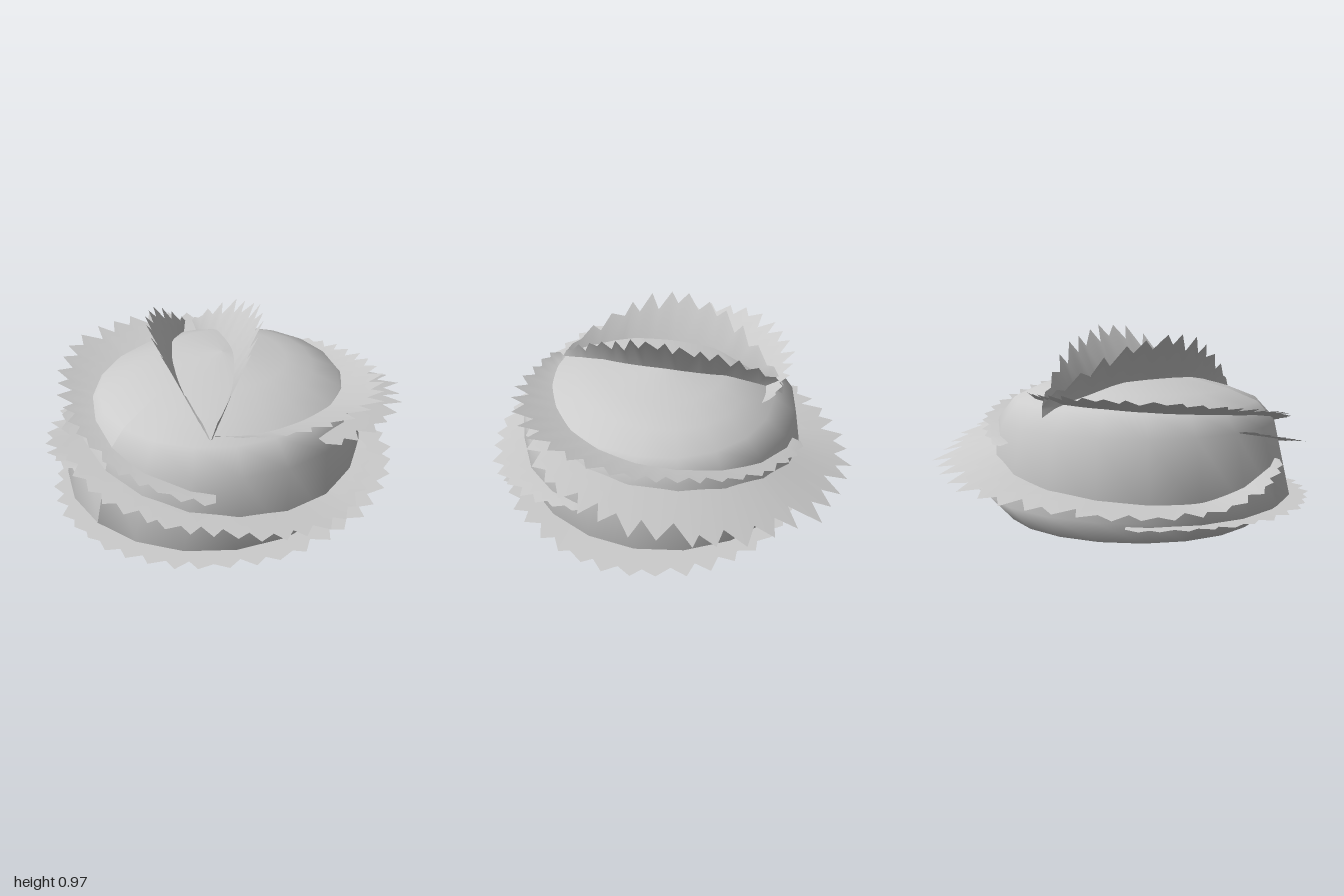
import * as THREE from 'three';

const material = new THREE.MeshStandardMaterial({ color: 0xcccccc, side: THREE.DoubleSide });

// Dome rings: [y, centre x, centre z, radius x, radius z]
const RINGS = [
  [0, 0.01, 0.055, 0.615, 0.655],
  [0.13, 0.02, 0.075, 0.755, 0.8],
  [0.5, 0.035, 0.07, 0.715, 0.72],
  [0.6, 0.045, 0.06, 0.585, 0.64],
  [0.66, 0.04, 0.05, 0.44, 0.5],
  [0.71, 0.03, 0.03, 0.32, 0.33],
  [0.74, 0.02, 0.02, 0.001, 0.001],
];

// Point on the dome at a height and azimuth (0 = front, 90 degrees = +x)
function domePoint(y, azimuth, scale = 1) {
  let i = 0;
  while (i < RINGS.length - 2 && y > RINGS[i + 1][0]) i++;
  const a = RINGS[i], b = RINGS[i + 1];
  const t = (y - a[0]) / (b[0] - a[0]);
  const [, cx, cz, rx, rz] = a.map((v, k) => v + (b[k] - v) * t);
  return new THREE.Vector3(cx + Math.sin(azimuth) * rx * scale, y, cz + Math.cos(azimuth) * rz * scale);
}

// Smooth surface through equal-length rows of points
function loft(name, rows) {
  const w = rows[0].length;
  const index = [];
  for (let r = 0; r < rows.length - 1; r++) {
    for (let c = 0; c < w - 1; c++) {
      const a = r * w + c, b = a + w;
      index.push(a, a + 1, b, b, a + 1, b + 1);
    }
  }
  const geometry = new THREE.BufferGeometry().setFromPoints(rows.flat());
  geometry.setIndex(index);
  geometry.computeVertexNormals();
  const mesh = new THREE.Mesh(geometry, material);
  mesh.name = name;
  return mesh;
}

const noise = (n) => {
  const s = Math.sin(n * 12.9898 + 4.1) * 43758.5453;
  return s - Math.floor(s);
};

// Jagged sheet; section(t) gives its inner, base and tip points along its length
function jaggedSheet(name, teeth, seed, section) {
  const rows = [[], [], []];
  for (let i = 0; i <= teeth * 2; i++) {
    const shift = i > 0 && i < teeth * 2 ? (noise(seed + i * 3.7) - 0.5) * 0.5 : 0;
    const [inner, base, tip] = section((i + shift) / (teeth * 2));
    const reach = i % 2 ? 0.9 + 0.12 * noise(seed + i) : 0.55 + 0.2 * noise(seed + i);
    rows[0].push(inner);
    rows[1].push(base);
    rows[2].push(base.clone().lerp(tip, reach));
  }
  return loft(name, rows);
}

// Ruff around the dome from one azimuth to another, running on a little way inside;
// evenly spaced keys of [base y, overhang, tip y]
function sideRuff(name, teeth, seed, from, to, keys) {
  const curve = new THREE.CatmullRomCurve3(keys.map((k) => new THREE.Vector3(...k)));
  return jaggedSheet(name, teeth, seed, (t) => {
    const azimuth = THREE.MathUtils.degToRad(from + (to - from) * t);
    const { x: baseY, y: overhang, z: tipY } = curve.getPoint(t);
    const base = domePoint(baseY, azimuth, 0.98);
    const tip = base.clone().add(
      new THREE.Vector3(Math.sin(azimuth) * overhang, tipY - baseY, Math.cos(azimuth) * overhang));
    return [domePoint(baseY, azimuth, 0.85), base, tip];
  });
}

// Upright wall bowed to one side of the line between the two crest ends
function crestWall(name, teeth, seed, bow, lean, height) {
  const start = new THREE.Vector3(-0.52, 0.59, -0.25);
  const end = new THREE.Vector3(0.42, 0.59, 0.5);
  const across = new THREE.Vector3(-0.62, 0, 0.78);
  return jaggedSheet(name, teeth, seed, (t) => {
    const arch = Math.sin(Math.PI * t);
    const base = start.clone().lerp(end, t).addScaledVector(across, bow * arch);
    base.y += 0.13 * arch;
    const inner = base.clone();
    inner.y -= 0.08;
    const tip = base.clone().addScaledVector(across, lean * arch);
    tip.y += 0.03 + height * Math.max(arch, 0) ** 0.7;
    return [inner, base, tip];
  });
}

export function createModel() {
  const model = new THREE.Group();
  model.name = 'spikyDome';

  // Open-bottomed dome
  const sides = 20;
  model.add(loft('dome', RINGS.map(([y]) =>
    Array.from({ length: sides + 1 }, (_, i) => domePoint(y, (i / sides) * Math.PI * 2)))));

  // Matching upper ruffs, half a turn apart
  const upper = [[0.62, 0.05, 0.66], [0.6, 0.26, 0.69], [0.55, 0.14, 0.58], [0.42, 0.08, 0.4]];
  model.add(sideRuff('frontUpperRuff', 24, 7, 225, 405, upper));
  model.add(sideRuff('backUpperRuff', 24, 108, 45, 225, upper));

  // Middle ruffs
  model.add(sideRuff('backMiddleRuff', 34, 209, 90, 350, [
    [0.55, 0.1, 0.53], [0.5, 0.3, 0.46], [0.41, 0.34, 0.3],
    [0.26, 0.27, 0.22], [0.21, 0.22, 0.2], [0.34, 0.05, 0.33]]));
  model.add(sideRuff('frontMiddleRuff', 23, 310, 325, 485, [
    [0.5, 0.09, 0.52], [0.4, 0.17, 0.39], [0.32, 0.14, 0.29], [0.27, 0.19, 0.24], [0.3, 0.05, 0.3]]));

  // Lower ruff, open at the back left
  model.add(sideRuff('lowerRuff', 38, 411, 280, 580, [
    [0.11, 0.05, 0.1], [0.11, 0.14, 0.11], [0.13, 0.14, 0.13], [0.14, 0.2, 0.14], [0.15, 0.04, 0.15]]));

  // Two crest walls meeting at both ends
  model.add(crestWall('frontCrest', 12, 900, 0.13, 0.13, 0.2));
  model.add(crestWall('backCrest', 14, 957, -0.17, -0.16, 0.23));

  return model;
}
